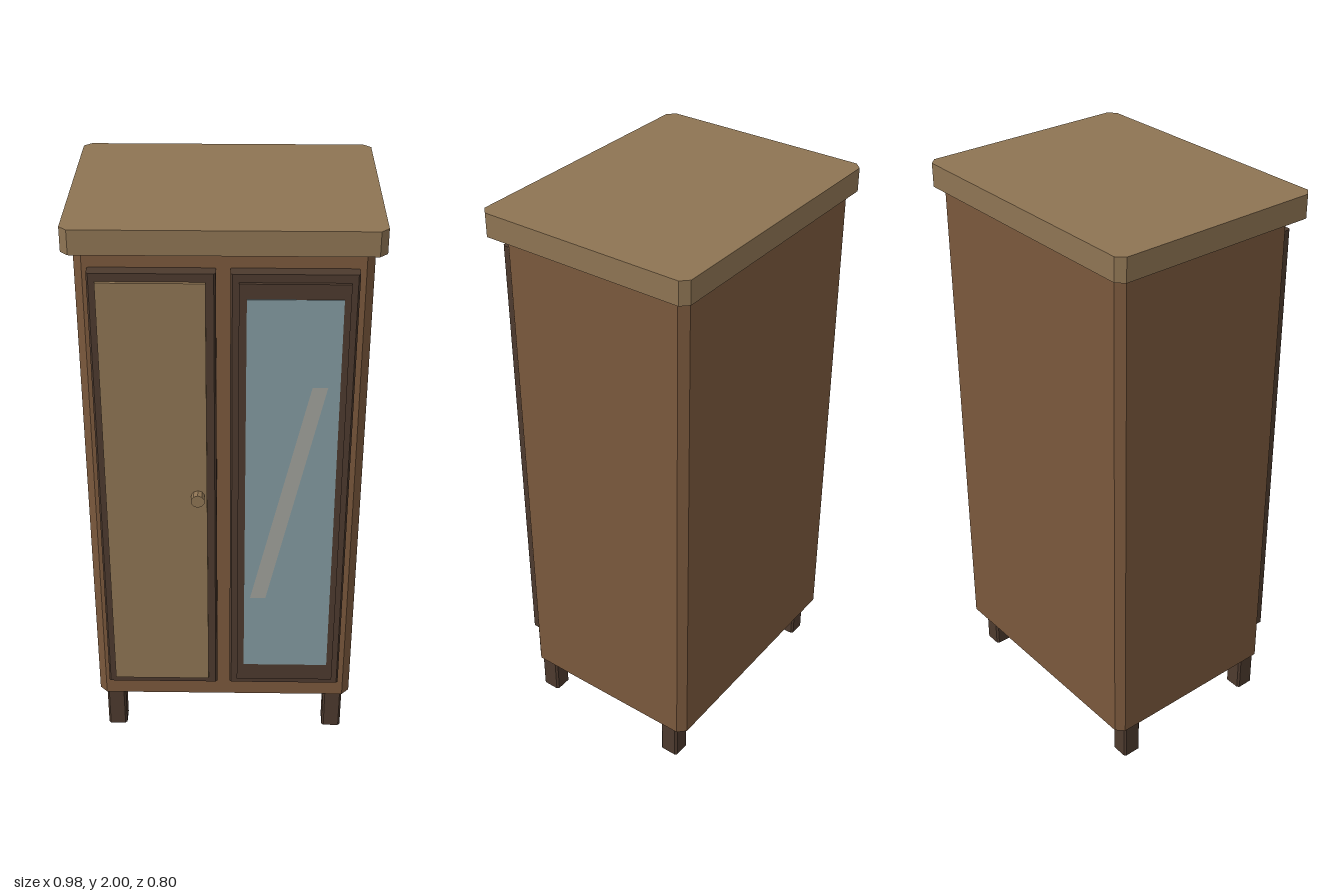
import * as THREE from 'three';

const material = (color) => new THREE.MeshStandardMaterial({ color, flatShading: true });

export function createModel() {
  const cabinet = new THREE.Group();
  cabinet.name = 'cabinet';
  const wood = material(0x7a583c);
  const lightWood = material(0x8e7453);
  const darkWood = material(0x4d3a2e);
  const glass = material(0x82999f);
  const shine = material(0x9fa19a);

  function add(name, geometry, mat) {
    const mesh = new THREE.Mesh(geometry, mat);
    mesh.name = name;
    cabinet.add(mesh);
    return mesh;
  }

  // Upright block between two corners, its vertical edges chamfered by c
  function block(name, [x0, y0, z0], [x1, y1, z1], c, mat) {
    const outline = [
      [x0 + c, -z0], [x0, -z0 - c], [x0, -z1 + c], [x0 + c, -z1],
      [x1 - c, -z1], [x1, -z1 + c], [x1, -z0 - c], [x1 - c, -z0],
    ].map(([x, y]) => new THREE.Vector2(x, y));
    const geometry = new THREE.ExtrudeGeometry(new THREE.Shape(outline), { depth: y1 - y0, bevelEnabled: false });
    geometry.rotateX(-Math.PI / 2).translate(0, y0, 0);
    return add(name, geometry, mat);
  }

  // Plain box between two corners
  function box(name, a, b, mat) {
    const geometry = new THREE.BoxGeometry(b[0] - a[0], b[1] - a[1], b[2] - a[2]);
    geometry.translate((a[0] + b[0]) / 2, (a[1] + b[1]) / 2, (a[2] + b[2]) / 2);
    return add(name, geometry, mat);
  }

  // Case and overhanging top
  block('body', [-0.458, 0.16, -0.376], [0.458, 1.92, 0.312], 0.026, wood);
  block('top', [-0.488, 1.92, -0.4], [0.488, 2, 0.37], 0.025, lightWood);

  // Four legs
  for (const x of [-0.398, 0.398]) {
    for (const z of [-0.294, 0.27]) {
      block('leg', [x - 0.034, 0, z - 0.035], [x + 0.034, 0.16, z + 0.035], 0.007, darkWood);
    }
  }

  // Solid door with a raised panel
  block('solidDoor', [-0.415, 0.255, 0.31], [-0.024, 1.857, 0.358], 0.006, darkWood);
  box('solidDoorPanel', [-0.389, 0.28, 0.35], [-0.055, 1.83, 0.369], lightWood);

  // Glazed door: raised frame, pane and diagonal reflection
  block('glassDoor', [0.02, 0.255, 0.31], [0.411, 1.857, 0.358], 0.006, darkWood);
  box('glassDoorFrame', [0.046, 0.28, 0.35], [0.386, 1.83, 0.369], darkWood);
  box('glassPane', [0.07, 0.35, 0.36], [0.365, 1.78, 0.372], glass);
  const streak = new THREE.Shape([[0.09, 0.65], [0.143, 0.65], [0.327, 1.48], [0.278, 1.48]]
    .map(([x, y]) => new THREE.Vector2(x, y)));
  add('glassReflection', new THREE.ShapeGeometry(streak).translate(0, 0, 0.374), shine);

  // Door knob
  const knob = new THREE.CylinderGeometry(0.023, 0.023, 0.036, 10);
  knob.rotateX(Math.PI / 2);
  add('knob', knob, lightWood).position.set(-0.085, 1.065, 0.382);

  return cabinet;
}
